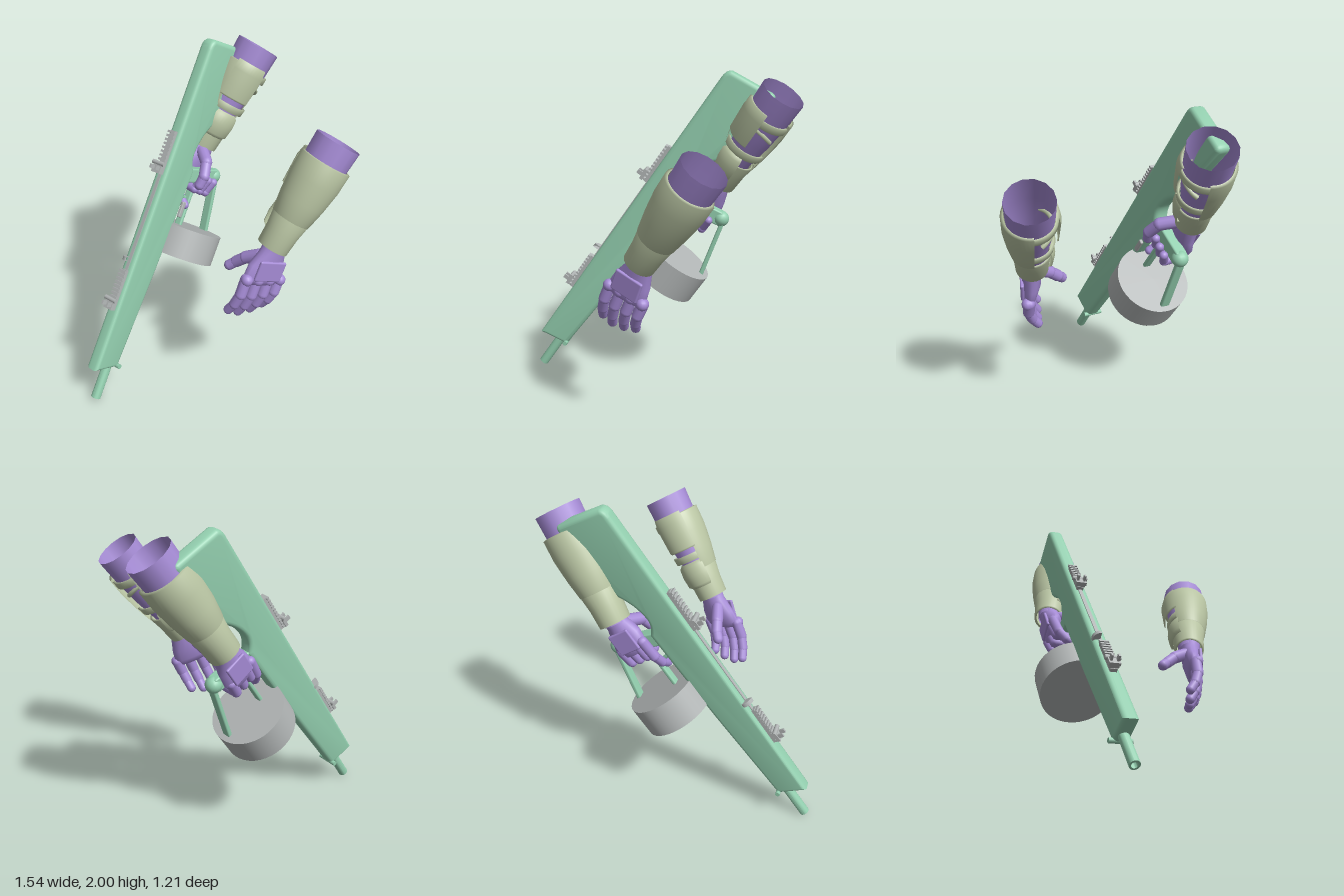
import * as THREE from 'three';
import { toCreasedNormals } from 'three/addons/utils/BufferGeometryUtils.js';
import { RoundedBoxGeometry } from 'three/addons/geometries/RoundedBoxGeometry.js';

const V = (x, y, z) => new THREE.Vector3(x, y, z);
function material(name, color) {
  const m = new THREE.MeshStandardMaterial({ color, side: THREE.DoubleSide });
  m.name = name;
  return m;
}
const GREEN = material('sea green', 0x94d0b0);
const PURPLE = material('lavender', 0xa68cd6);
const OLIVE = material('pale olive', 0xbac6a4);
const GREY = material('light grey', 0xb2b6b6);

function add(parent, name, geo, mat, x = 0, y = 0, z = 0) {
  const m = new THREE.Mesh(geo, mat);
  m.name = name;
  m.position.set(x, y, z);
  parent.add(m);
  return m;
}
function frame(name, origin, x, y, z) {
  const g = new THREE.Group();
  g.name = name;
  g.quaternion.setFromRotationMatrix(new THREE.Matrix4().makeBasis(x, y, z));
  g.position.copy(origin);
  return g;
}
// Point a cylinder-like mesh from p to q
function aim(mesh, p, q) {
  mesh.position.copy(p).lerp(q, 0.5);
  mesh.quaternion.setFromUnitVectors(V(0, 1, 0), q.clone().sub(p).normalize());
  return mesh;
}
function bar(parent, name, p, q, w, t) {
  const len = p.distanceTo(q);
  return aim(add(parent, name, new RoundedBoxGeometry(w, len, t, 2, 0.01), GREEN), p, q);
}
// Jointed finger, slightly thinner towards the tip
function finger(parent, name, pts, r) {
  const g = new THREE.Group();
  g.name = name;
  for (let i = 0; i + 1 < pts.length; i++) {
    const p = V(...pts[i]), q = V(...pts[i + 1]);
    aim(add(g, 'fingerSegment', new THREE.CapsuleGeometry(r * (1 - 0.08 * i), p.distanceTo(q), 5, 12), PURPLE), p, q);
  }
  parent.add(g);
}
// Elliptical skin through rings [x, y, z, radiusU, radiusV]
function loft(rings, u, v, n = 16) {
  const pos = [], idx = [];
  rings.forEach(([x, y, z, ru, rv], i) => {
    for (let j = 0; j < n; j++) {
      const t = (j / n) * Math.PI * 2;
      const p = V(x, y, z).addScaledVector(u, Math.cos(t) * ru).addScaledVector(v, Math.sin(t) * rv);
      pos.push(p.x, p.y, p.z);
      if (i + 1 < rings.length) {
        const a = i * n + j, b = i * n + ((j + 1) % n);
        idx.push(a, b, b + n, a, b + n, a + n);
      }
    }
  });
  const g = new THREE.BufferGeometry();
  g.setAttribute('position', new THREE.Float32BufferAttribute(pos, 3));
  g.setIndex(idx);
  g.computeVertexNormals();
  return g;
}

// Local x runs from muzzle to butt, y to the sights, z to the side
function makeGun() {
  const d = V(0.497, 0.831, -0.249).normalize();
  const up = V(-0.784, 0.553, 0.281);
  up.addScaledVector(d, -up.dot(d)).normalize();
  const gun = frame('gun', V(-0.75, 0.02, 0.1), d, up, d.clone().cross(up));

  // Body and stock in one profile
  const s = new THREE.Shape();
  s.moveTo(0.19, 0.132);
  s.lineTo(0.225, -0.055);
  s.lineTo(0.9, -0.095);
  s.lineTo(1.54, -0.12);
  s.quadraticCurveTo(1.59, -0.07, 1.65, -0.072);
  s.quadraticCurveTo(1.75, -0.08, 1.84, -0.145);
  s.lineTo(2.31, -0.2);
  s.quadraticCurveTo(2.35, -0.2, 2.345, -0.16);
  s.lineTo(2.315, 0.1);
  s.quadraticCurveTo(2.3, 0.132, 2.25, 0.132);
  s.closePath();
  const body = new THREE.ExtrudeGeometry(s, {
    depth: 0.04, bevelSize: 0.026, bevelOffset: -0.026, bevelThickness: 0.026, bevelSegments: 4, curveSegments: 8,
  });
  add(gun, 'body', toCreasedNormals(body, 0.6), GREEN, 0, 0, -0.02);

  // Hollow barrel
  const tube = [[0.019, 0.06], [0.019, 0], [0.03, 0], [0.03, 0.3]].map((p) => new THREE.Vector2(...p));
  add(gun, 'barrel', toCreasedNormals(new THREE.LatheGeometry(tube, 20), 0.6), GREEN).rotation.z = -Math.PI / 2;
  add(gun, 'crossPin', new THREE.CylinderGeometry(0.015, 0.015, 0.13, 12), GREEN, 0.235, -0.045, 0).rotation.x = Math.PI / 2;

  // Drum magazine, its axis along the barrel
  add(gun, 'drum', new THREE.CylinderGeometry(0.226, 0.226, 0.19, 40), GREY, 1.095, -0.3, 0).rotation.z = -Math.PI / 2;
  add(gun, 'drumCatch', new RoundedBoxGeometry(0.1, 0.03, 0.02, 2, 0.006), GREY, 1.29, -0.11, 0.055);

  // Toothed rails, each with a small sight
  for (const [a0, a1, sight] of [[0.585, 0.845, 0.62], [1.46, 1.73, 1.49]]) {
    const len = a1 - a0;
    add(gun, 'rail', new THREE.BoxGeometry(len, 0.03, 0.04), GREY, (a0 + a1) / 2, 0.138, 0);
    for (let i = 0; i < 11; i++) {
      add(gun, 'railTooth', new THREE.BoxGeometry(len / 20, 0.016, 0.055), GREY, a0 + (len * (i + 0.5)) / 11, 0.16, 0);
    }
    add(gun, 'sightBase', new THREE.BoxGeometry(0.06, 0.02, 0.065), GREY, sight, 0.176, 0);
    for (const w of [-0.02, 0.02]) add(gun, 'sightEar', new THREE.BoxGeometry(0.025, 0.04, 0.012), GREY, sight, 0.2, w);
    add(gun, 'sightKnob', new THREE.CylinderGeometry(0.014, 0.014, 0.09, 10), GREY, sight + 0.03, 0.178, 0).rotation.x = Math.PI / 2;
  }
  add(gun, 'chargingSlot', new THREE.BoxGeometry(0.62, 0.008, 0.022), GREY, 1.15, 0.133, 0);
  const fin = new THREE.CylinderGeometry(0.045, 0.045, 0.025, 16, 1, false, 0, Math.PI);
  add(gun, 'chargingHandle', fin, GREY, 0.91, 0.132, 0).rotation.set(Math.PI / 2, Math.PI / 2, 0, 'YXZ');

  // Grip, guard and trigger
  bar(gun, 'grip', V(1.5, -0.08, 0), V(1.55, -0.37, 0), 0.09, 0.07);
  add(gun, 'gripFoot', new THREE.SphereGeometry(0.05, 16, 12), GREEN, 1.55, -0.37, 0);
  bar(gun, 'outerGuard', V(1.56, -0.385, 0), V(1.15, -0.488, 0), 0.028, 0.06);
  bar(gun, 'innerGuard', V(1.5, -0.2, 0), V(1.17, -0.2, 0), 0.025, 0.05);
  bar(gun, 'trigger', V(1.38, -0.1, 0), V(1.36, -0.18, 0), 0.025, 0.02);

  // Hand closed around the grip
  const hand = new THREE.Group();
  hand.name = 'gripHand';
  gun.add(hand);
  add(hand, 'palm', loft([
    [1.78, -0.235, -0.06, 0.07, 0.065], [1.7, -0.235, -0.055, 0.072, 0.062], [1.62, -0.235, -0.06, 0.1, 0.058],
    [1.55, -0.24, -0.075, 0.11, 0.045], [1.5, -0.24, -0.075, 0.095, 0.035], [1.49, -0.24, -0.075, 0, 0],
  ], V(0, 1, 0), V(0, 0, -1)), PURPLE);
  add(hand, 'handPlate', new RoundedBoxGeometry(0.14, 0.14, 0.02, 2, 0.009), PURPLE, 1.6, -0.235, -0.115);
  for (let i = 0; i < 3; i++) {
    const h = -0.195 - 0.058 * i;
    finger(hand, 'curledFinger', [[1.54, h, -0.085], [1.45, h, -0.07], [1.435, h, 0.03], [1.51, h, 0.065]], 0.031);
  }
  finger(hand, 'indexFinger', [[1.55, -0.15, -0.085], [1.43, -0.155, -0.07], [1.36, -0.165, -0.03], [1.32, -0.17, 0.02]], 0.031);
  finger(hand, 'thumb', [[1.68, -0.2, -0.02], [1.62, -0.165, 0.07], [1.53, -0.155, 0.1], [1.47, -0.16, 0.085]], 0.038);
  return gun;
}

// Forearm: local y runs from wrist to elbow, the shell sits on local +z
function makeArm(name, origin, side) {
  const arm = frame(name, origin, V(0.834, -0.551, 0), V(0.551, 0.834, 0), V(0, 0, 1));
  arm.scale.z = side;
  const band = (label, mat, pts, from = 0, sweep = 360, n = 28) => add(arm, label, new THREE.LatheGeometry(
    pts.map((p) => new THREE.Vector2(...p)), n, THREE.MathUtils.degToRad(from), THREE.MathUtils.degToRad(sweep)), mat);

  band('sleeve', PURPLE, [[0.065, -0.04], [0.075, 0.05], [0.09, 0.18], [0.115, 0.34], [0.13, 0.5], [0.136, 0.67]], 0, 360, 14);
  // Cuff and the main shell with turned-in rims
  band('cuff', OLIVE, [[0.08, -0.03], [0.094, -0.03], [0.1, 0.08], [0.113, 0.17], [0.1, 0.172]]);
  band('shell', OLIVE, [[0.1, 0.168], [0.116, 0.17], [0.137, 0.29], [0.152, 0.42], [0.153, 0.54], [0.136, 0.545]], -125, 220);
  // Straps and the inner flap
  band('upperStrap', OLIVE, [[0.13, 0.475], [0.145, 0.475], [0.147, 0.52], [0.132, 0.52]], 90, 150);
  band('middleStrap', OLIVE, [[0.11, 0.24], [0.125, 0.24], [0.13, 0.285], [0.115, 0.285]], 90, 150);
  band('flap', OLIVE, [[0.14, 0.32], [0.15, 0.33], [0.16, 0.5], [0.15, 0.56], [0.136, 0.56]], 165, 75, 10);
  band('wristPad', OLIVE, [[0.1, 0.06], [0.122, 0.08], [0.13, 0.15], [0.125, 0.21], [0.105, 0.23]], 150, 90, 10);
  const diagonal = add(arm, 'diagonalStrap', new THREE.TorusGeometry(0.132, 0.014, 6, 20, 2.2), OLIVE, 0, 0.38, 0);
  diagonal.rotation.set(Math.PI / 2 + 0.5, 0, -Math.PI * 0.85);
  return arm;
}

function makeOpenHand() {
  const hand = new THREE.Group();
  hand.name = 'openHand';
  const across = V(0.95, -0.31, 0);
  add(hand, 'palm', loft([
    [0.295, 1.12, 0.455, 0.075, 0.065], [0.265, 1.05, 0.455, 0.08, 0.06], [0.225, 0.97, 0.458, 0.115, 0.057],
    [0.195, 0.9, 0.468, 0.128, 0.046], [0.18, 0.865, 0.472, 0.115, 0.034], [0.178, 0.86, 0.472, 0, 0],
  ], across, V(0, 0, 1)), PURPLE);
  const plate = add(hand, 'handPlate', new RoundedBoxGeometry(0.18, 0.13, 0.022, 2, 0.01), PURPLE, 0.22, 0.955, 0.512);
  plate.rotation.z = -0.35;
  const tips = [[-0.0, 0.7], [0.065, 0.665], [0.145, 0.66], [0.225, 0.67]];
  tips.forEach(([tx, ty], i) => {
    const kx = 0.085 + 0.073 * i, ky = 0.92 - 0.022 * i;
    const at = (t, z) => [kx + (tx - kx) * t, ky + (ty - ky) * t, z];
    finger(hand, 'finger', [at(0, 0.475), at(0.42, 0.482), at(0.75, 0.462), at(1, 0.43)], 0.034);
    // Knuckle guard
    add(hand, 'knuckle', new THREE.SphereGeometry(0.036, 14, 10), PURPLE, kx, ky, 0.485);
  });
  finger(hand, 'thumb', [[0.2, 1.02, 0.42], [0.15, 0.975, 0.35], [0.115, 0.925, 0.3], [0.085, 0.895, 0.275]], 0.038);
  return hand;
}

export function createModel() {
  const model = new THREE.Group();
  model.name = 'armsAndGun';
  model.add(
    makeGun(),
    makeArm('leftForearm', V(0.28, 1.1, 0.45), 1),
    makeArm('rightForearm', V(0.28, 1.34, -0.455), -1),
    makeOpenHand(),
  );
  return model;
}
